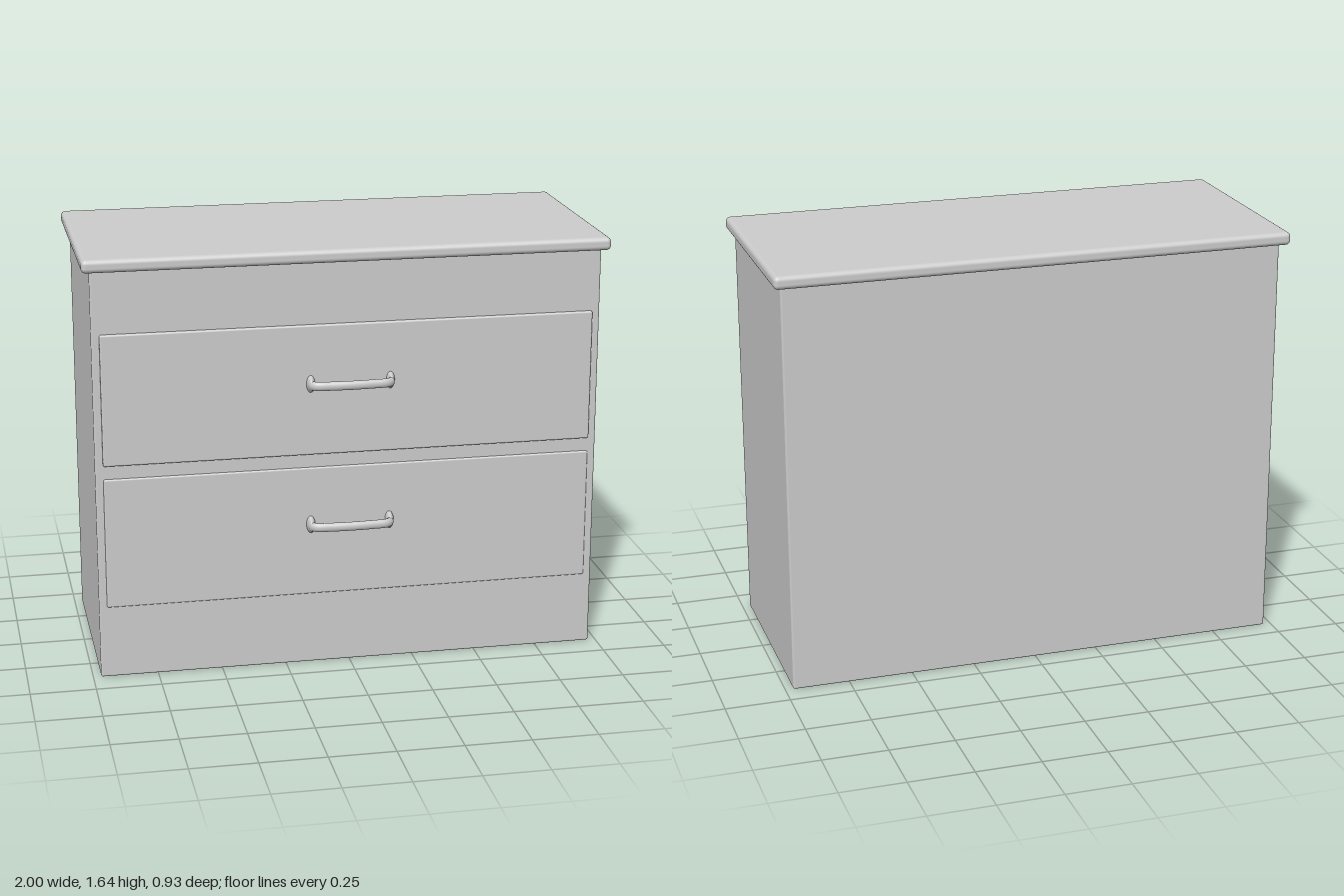
import * as THREE from 'three';
import { RoundedBoxGeometry } from 'three/addons/geometries/RoundedBoxGeometry.js';

const material = new THREE.MeshStandardMaterial({ color: 0xcccccc });

// Softened box given by its min and max corners
function slab(name, [x0, y0, z0], [x1, y1, z1], radius) {
  const geometry = new RoundedBoxGeometry(x1 - x0, y1 - y0, z1 - z0, 4, radius);
  const mesh = new THREE.Mesh(geometry, material);
  mesh.name = name;
  mesh.position.set((x0 + x1) / 2, (y0 + y1) / 2, (z0 + z1) / 2);
  return mesh;
}

// Bowed pull bar with a flared foot at each end
function createHandle() {
  const handle = new THREE.Group();
  handle.name = 'handle';
  const path = new THREE.CatmullRomCurve3([
    [-0.153, 0.395], [-0.152, 0.425], [-0.135, 0.441], [-0.08, 0.447], [0, 0.45],
    [0.08, 0.447], [0.135, 0.441], [0.152, 0.425], [0.153, 0.395],
  ].map(([x, z]) => new THREE.Vector3(x, 0, z)));
  const barGeometry = new THREE.TubeGeometry(path, 64, 0.0125, 14);
  barGeometry.scale(1, 1.4, 1);
  const bar = new THREE.Mesh(barGeometry, material);
  bar.name = 'handleBar';
  handle.add(bar);

  const profile = [[0.034, 0], [0.033, 0.012], [0.026, 0.022], [0.021, 0.032], [0.019, 0.04], [0, 0.046]]
    .map(([r, h]) => new THREE.Vector2(r, h));
  for (const side of [-1, 1]) {
    const foot = new THREE.Mesh(new THREE.LatheGeometry(profile, 24), material);
    foot.name = side > 0 ? 'leftHandleFoot' : 'rightHandleFoot';
    foot.rotation.x = Math.PI / 2;
    foot.scale.x = 0.5;
    foot.position.set(side * 0.153, 0, 0.392);
    handle.add(foot);
  }
  return handle;
}

export function createModel() {
  const chest = new THREE.Group();
  chest.name = 'chestOfDrawers';

  // Carcass and overhanging top
  chest.add(slab('body', [-0.97, 0, -0.42], [0.97, 1.61, 0.39], 0.008));
  chest.add(slab('top', [-1, 1.595, -0.463], [1, 1.645, 0.424], 0.018));

  // Two drawers, the upper standing slightly prouder
  const drawers = [
    { name: 'upperDrawer', y0: 0.85, y1: 1.357, front: 0.403, handleY: 1.13 },
    { name: 'lowerDrawer', y0: 0.285, y1: 0.797, front: 0.397, handleY: 0.57 },
  ];
  for (const { name, y0, y1, front, handleY } of drawers) {
    const drawer = new THREE.Group();
    drawer.name = name;
    drawer.add(slab('drawerFront', [-0.94, y0, 0.33], [0.94, y1, front], 0.007));
    const handle = createHandle();
    handle.position.y = handleY;
    drawer.add(handle);
    chest.add(drawer);
  }
  return chest;
}
